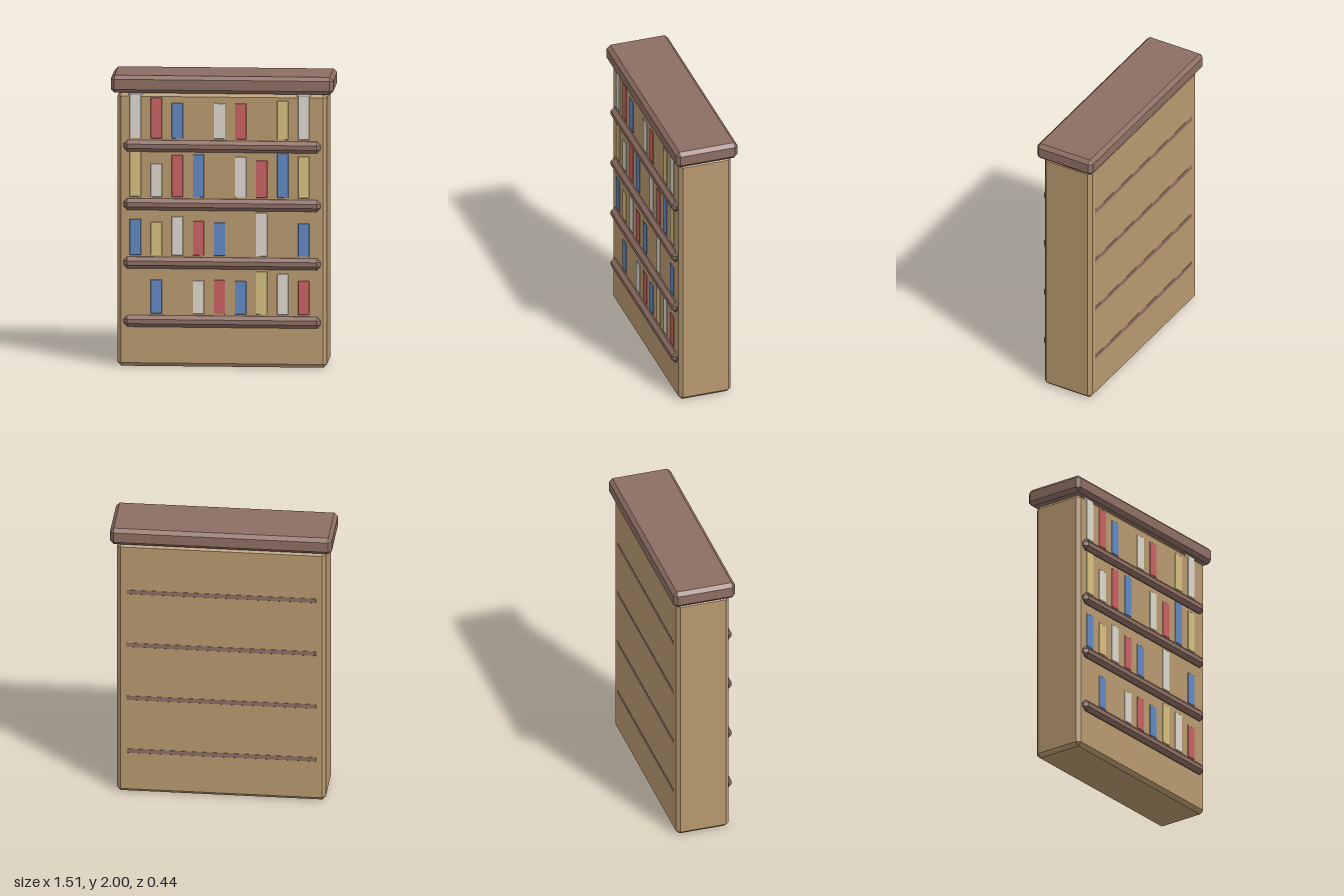
import * as THREE from 'three';
import { ConvexGeometry } from 'three/addons/geometries/ConvexGeometry.js';

const material = (color) => new THREE.MeshStandardMaterial({ color, flatShading: true });

// Box with flat chamfers on every edge, given by its extents
function chamferBox([x0, x1], [y0, y1], [z0, z1], bevel) {
  const half = new THREE.Vector3(x1 - x0, y1 - y0, z1 - z0).multiplyScalar(0.5);
  const points = [];
  for (const sx of [-1, 1]) for (const sy of [-1, 1]) for (const sz of [-1, 1]) {
    for (let axis = 0; axis < 3; axis++) {
      const inset = new THREE.Vector3(bevel, bevel, bevel).setComponent(axis, 0);
      points.push(half.clone().sub(inset).multiply(new THREE.Vector3(sx, sy, sz)));
    }
  }
  return new ConvexGeometry(points).translate((x0 + x1) / 2, (y0 + y1) / 2, (z0 + z1) / 2);
}

export function createModel() {
  const model = new THREE.Group();
  model.name = 'bookcase';
  const lightWood = material(0xb8996f);
  const darkWood = material(0x8d6e63);
  const bookColors = {
    w: material(0xdcd8cc), r: material(0xc96262), b: material(0x6289c4), y: material(0xd6c07e),
  };

  function add(name, geometry, mat, parent = model) {
    const mesh = new THREE.Mesh(geometry, mat);
    mesh.name = name;
    parent.add(mesh);
  }

  // Solid case and overhanging top board
  add('case', chamferBox([-0.712, 0.712], [0, 1.88], [-0.187, 0.187], 0.025), lightWood);
  add('topBoard', chamferBox([-0.757, 0.757], [1.88, 2], [-0.22, 0.22], 0.025), darkWood);

  // Each row: one shelf, and books as [colour, height] in nine slots (null = gap)
  const rows = [
    [null, ['b', 0.257], null, ['w', 0.252], ['r', 0.257], ['b', 0.252], ['y', 0.317], ['w', 0.302], ['r', 0.257]],
    [['b', 0.27], ['y', 0.25], ['w', 0.29], ['r', 0.26], ['b', 0.25], null, ['w', 0.32], null, ['b', 0.25]],
    [['y', 0.34], ['w', 0.25], ['r', 0.31], ['b', 0.315], null, ['w', 0.30], ['r', 0.28], ['b', 0.33], ['y', 0.31]],
    [['w', 0.328], ['r', 0.303], ['b', 0.268], null, ['w', 0.268], ['r', 0.268], null, ['y', 0.288], ['w', 0.328]],
  ];
  rows.forEach((books, row) => {
    const shelfTop = 0.353 + row * 0.401;
    add(`shelf${row + 1}`,
      chamferBox([-0.67, 0.67], [shelfTop - 0.08, shelfTop], [-0.188, 0.22], 0.025), darkWood);

    const bookRow = new THREE.Group();
    bookRow.name = `bookRow${row + 1}`;
    model.add(bookRow);
    books.forEach((book, slot) => {
      if (!book) return;
      const [color, height] = book;
      const x = -0.59 + slot * 0.143;
      add(`book${slot + 1}`,
        chamferBox([x - 0.05, x + 0.05], [shelfTop, shelfTop + height], [-0.1, 0.19], 0.014),
        bookColors[color], bookRow);
    });
  });
  return model;
}
